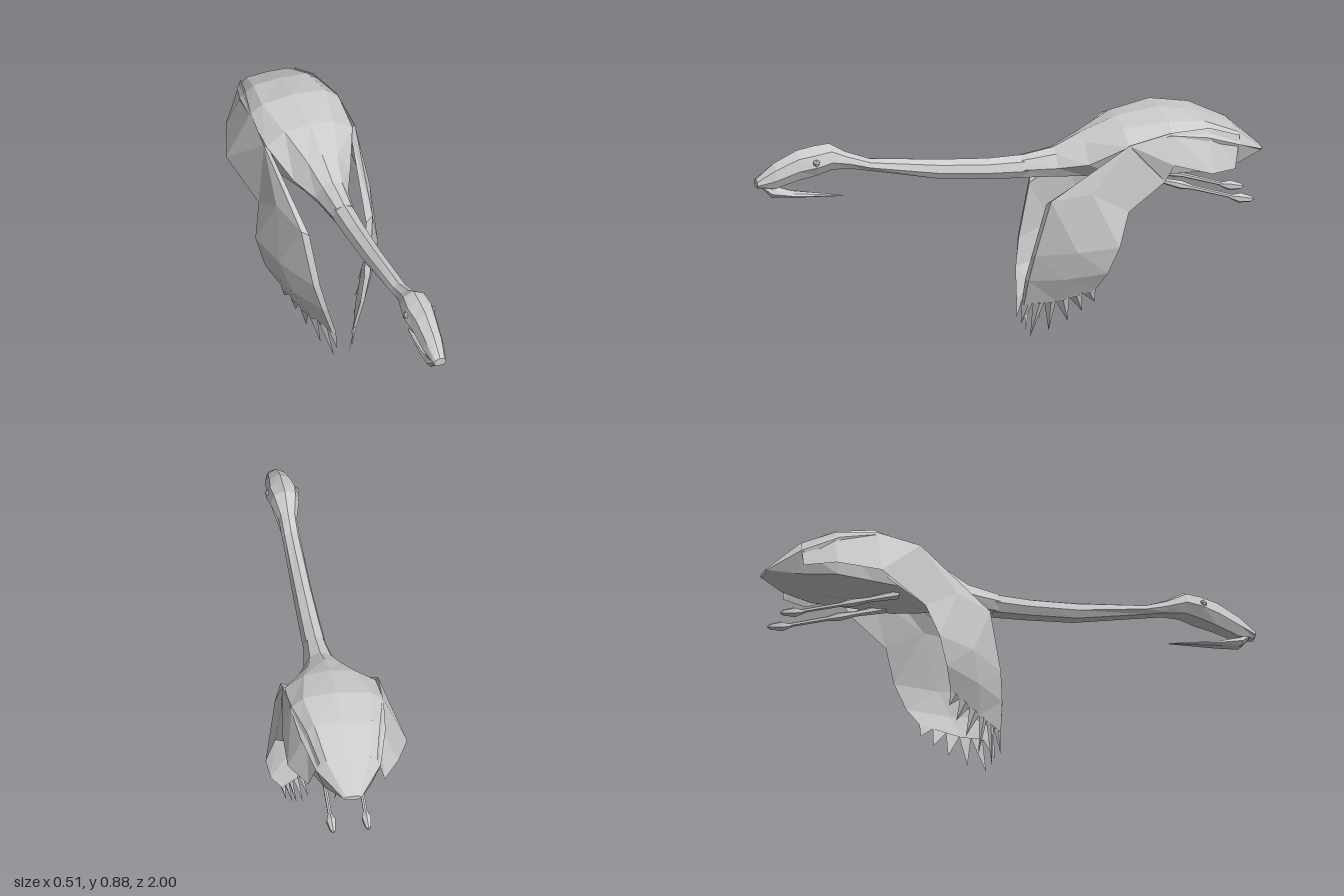
import * as THREE from 'three';

const CX = 0.013; // the bird's own centre line

const material = new THREE.MeshStandardMaterial({ color: 0xcccccc, flatShading: true, side: THREE.DoubleSide });

function meshFrom(name, triangles) {
  const geo = new THREE.BufferGeometry();
  geo.setAttribute('position', new THREE.Float32BufferAttribute(triangles.flat(2), 3));
  geo.computeVertexNormals();
  const mesh = new THREE.Mesh(geo, material);
  mesh.name = name;
  return mesh;
}

// Skins a list of rows; closed rows are rings with end caps
function skin(rows, closed) {
  const tris = [];
  const n = rows[0].length;
  for (let i = 0; i < rows.length - 1; i++) {
    for (let j = 0; j < (closed ? n : n - 1); j++) {
      const k = (j + 1) % n;
      const [a, b, c, d] = [rows[i][j], rows[i][k], rows[i + 1][k], rows[i + 1][j]];
      tris.push([a, b, c], [a, c, d]);
    }
  }
  if (closed) {
    const first = rows[0], last = rows[rows.length - 1];
    for (let j = 1; j < n - 1; j++) {
      tris.push([first[0], first[j + 1], first[j]], [last[0], last[j], last[j + 1]]);
    }
  }
  return tris;
}

// Symmetric ring at depth z from half-profile points [halfWidth, y], top to bottom
function ring(z, half) {
  const right = half.map(([x, y]) => [CX + x, y, z]);
  const left = half.slice(1, -1).reverse().map(([x, y]) => [CX - x, y, z]);
  return [...right, ...left];
}

// Six-sided ring from top, bottom and half width
const hexRing = ([z, top, bottom, w]) => ring(z, [
  [0, top],
  [w * 0.75, top - (top - bottom) * 0.2],
  [w, top - (top - bottom) * 0.6],
  [w * 0.6, bottom + (top - bottom) * 0.03],
  [0, bottom],
]);

// Six-sided turned part running from one point to another; profile is [radius, fraction]
function turned(name, from, to, profile) {
  const a = new THREE.Vector3(...from), dir = new THREE.Vector3(...to).sub(a);
  const len = dir.length();
  const geo = new THREE.LatheGeometry(profile.map(([r, t]) => new THREE.Vector2(r, t * len)), 6);
  const mesh = new THREE.Mesh(geo, material);
  mesh.name = name;
  mesh.position.copy(a);
  mesh.quaternion.setFromUnitVectors(new THREE.Vector3(0, 1, 0), dir.normalize());
  return mesh;
}

function makeWing(side) {
  const wing = new THREE.Group();
  wing.name = side > 0 ? 'leftWing' : 'rightWing';
  const place = ([x, y, z]) => [CX + side * x, y, z];

  // Rows from shoulder to feather roots: leading edge, its outer side, middle, trailing edge
  const rows = [
    [[0.165, 0.78, -0.43], [0.185, 0.80, -0.43], [0.195, 0.74, -0.48], [0.19, 0.64, -0.57]],
    [[0.115, 0.57, -0.12], [0.145, 0.59, -0.13], [0.19, 0.62, -0.28], [0.21, 0.54, -0.42]],
    [[0.09, 0.36, -0.07], [0.115, 0.36, -0.075], [0.2, 0.39, -0.22], [0.24, 0.41, -0.375]],
    [[0.065, 0.25, -0.05], [0.085, 0.25, -0.058], [0.16, 0.27, -0.18], [0.215, 0.3, -0.335]],
    [[0.035, 0.14, -0.045], [0.05, 0.14, -0.05], [0.105, 0.165, -0.16], [0.165, 0.22, -0.3]],
  ];
  const outer = rows.map(r => r.map(place));
  // Inner face closes the thick leading edge towards the trailing edge
  const inner = rows.map(r => [r[0], [r[2][0] - 0.02, r[2][1] - 0.01, r[2][2]], r[3]].map(place));
  wing.add(meshFrom('wingOuterFace', skin(outer, false)), meshFrom('wingInnerFace', skin(inner, false)));

  // Flight feathers
  const tips = [[0.03, 0.06, -0.045], [0.03, 0, -0.08], [0.06, 0.028, -0.145],
    [0.095, 0.075, -0.21], [0.12, 0.12, -0.26], [0.15, 0.165, -0.3]];
  const [lead, , mid, trail] = rows[4];
  const lerp = (a, b, t) => a.map((v, i) => v + (b[i] - v) * t);
  const root = t => (t < 0.5 ? lerp(lead, mid, t * 2) : lerp(mid, trail, t * 2 - 1));
  const feathers = [];
  tips.forEach((tip, i) => {
    const a = root(i / 6), b = root((i + 1) / 6);
    const ridge = lerp(a, b, 0.5);
    ridge[0] += 0.012;
    feathers.push([a, ridge, tip].map(place), [ridge, b, tip].map(place), [a, tip, b].map(place));
  });
  wing.add(meshFrom('feathers', feathers));

  // Rear panel of the wing, folded along the flank
  const upper = [[0.185, 0.8, -0.43], [0.175, 0.83, -0.6], [0.14, 0.82, -0.76], [0.11, 0.765, -0.89]];
  const lower = side > 0
    ? [[0.19, 0.64, -0.57], [0.212, 0.71, -0.6], [0.212, 0.66, -0.75], [0.15, 0.645, -0.86]]
    : [[0.21, 0.54, -0.42], [0.268, 0.63, -0.62], [0.21, 0.66, -0.78], [0.14, 0.66, -0.89]];
  const panel = upper.map((u, i) => [u, lower[i]].map(place));
  wing.add(meshFrom('rearPanel', skin(panel, false)));
  return wing;
}

export function createModel() {
  const model = new THREE.Group();
  model.name = 'flyingBird';

  // Body rings from the neck joint to the tail
  const body = [
    [-0.05, [[0, 0.735], [0.03, 0.725], [0.045, 0.69], [0.03, 0.655], [0, 0.65]]],
    [-0.18, [[0, 0.755], [0.04, 0.74], [0.065, 0.69], [0.045, 0.65], [0, 0.64]]],
    [-0.29, [[0, 0.805], [0.06, 0.785], [0.115, 0.71], [0.07, 0.65], [0, 0.635]]],
    [-0.43, [[0, 0.855], [0.1, 0.84], [0.175, 0.79], [0.12, 0.645], [0, 0.62]]],
    [-0.6, [[0, 0.875], [0.13, 0.86], [0.18, 0.82], [0.13, 0.645], [0, 0.607]]],
    [-0.75, [[0, 0.845], [0.11, 0.838], [0.165, 0.79], [0.14, 0.645], [0, 0.62]]],
    [-0.89, [[0, 0.775], [0.085, 0.77], [0.125, 0.73], [0.09, 0.645], [0, 0.632]]],
    [-1.0, [[0, 0.675], [0.025, 0.674], [0.035, 0.667], [0.025, 0.66], [0, 0.657]]],
  ];
  model.add(meshFrom('body', skin(body.map(([z, half]) => ring(z, half)), true)));

  // Neck: z, top, bottom, half width
  const neck = [
    [0.66, 0.835, 0.77, 0.036], [0.55, 0.79, 0.745, 0.034], [0.27, 0.755, 0.68, 0.038],
    [0.08, 0.738, 0.66, 0.042], [-0.07, 0.737, 0.648, 0.046],
  ];
  model.add(meshFrom('neck', skin(neck.map(hexRing), true)));

  // Head with hooked upper beak
  const head = [
    [1.0, 0.755, 0.722, 0.025], [0.93, 0.812, 0.715, 0.042], [0.84, 0.855, 0.74, 0.052],
    [0.77, 0.866, 0.755, 0.063], [0.71, 0.87, 0.77, 0.055], [0.63, 0.82, 0.765, 0.034],
  ];
  model.add(meshFrom('head', skin(head.map(hexRing), true)));

  // Lower beak hanging open and tapering backwards
  const jaw = [[0.975, 0.735, 0.715, 0.022], [0.945, 0.725, 0.68, 0.032],
    [0.85, 0.69, 0.668, 0.026], [0.655, 0.652, 0.648, 0.003]];
  model.add(meshFrom('lowerBeak', skin(jaw.map(hexRing), true)));

  for (const side of [-1, 1]) {
    const eye = new THREE.Mesh(new THREE.IcosahedronGeometry(0.016, 0), material);
    eye.name = 'eye';
    eye.position.set(CX + side * 0.052, 0.815, 0.775);
    model.add(eye);

    // Legs trailing backwards, with a knee and a folded foot
    const x = CX + side * 0.068;
    model.add(turned('leg', [x, 0.635, -0.48], [x, 0.497, -0.88],
      [[0.018, 0], [0.011, 0.3], [0.017, 0.47], [0.009, 0.58], [0.008, 1]]));
    model.add(turned('foot', [x, 0.5, -0.86], [x, 0.478, -0.96],
      [[0.006, 0], [0.02, 0.4], [0.012, 0.85], [0, 1]]));
    model.add(makeWing(side));
  }
  return model;
}
